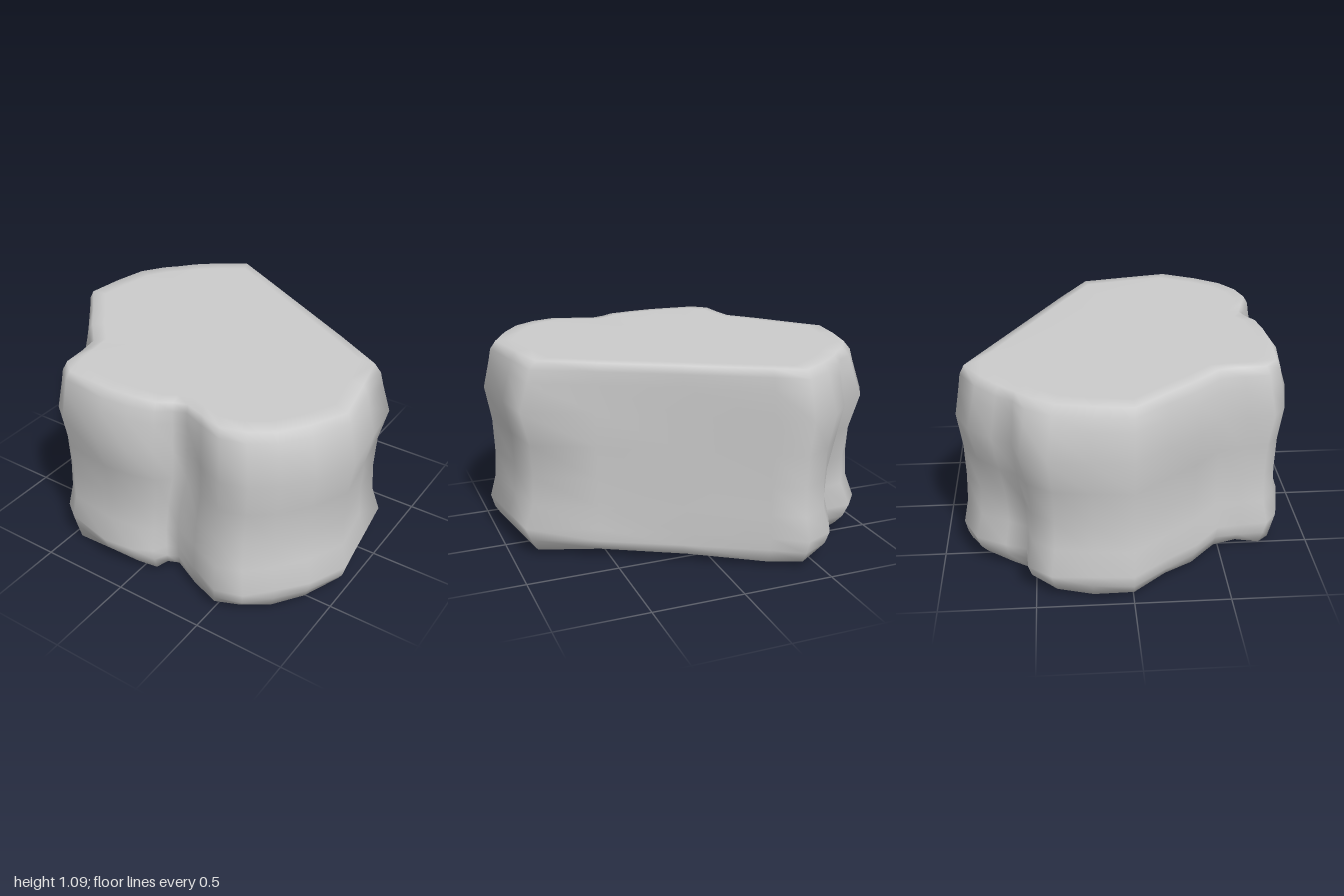
import * as THREE from 'three';

// Corners of the top rim: x, z and how far the side bulges outward there
const outline = [
  [-0.40, -0.84, 0.06], [-0.25, -0.76, 0.02], [0.15, -0.545, 0], [0.55, -0.33, 0.01],
  [0.83, -0.17, 0.11], [0.88, 0.06, 0.09], [0.935, 0.33, 0.07], [0.84, 0.52, 0.08],
  [0.74, 0.66, 0.06], [0.62, 0.74, 0.08], [0.49, 0.775, 0.08], [0.36, 0.735, 0.06],
  [0.25, 0.70, 0.01], [0.18, 0.725, 0.02], [0.11, 0.77, 0.06], [-0.02, 0.79, 0.10],
  [-0.17, 0.80, 0.11], [-0.44, 0.78, 0.06], [-0.52, 0.71, 0.07], [-0.53, 0.58, 0.07],
  [-0.55, 0.46, 0.06], [-0.68, 0.32, 0.09], [-0.80, 0.17, 0.07], [-0.945, 0, 0.058],
  [-0.92, -0.20, 0.07], [-0.88, -0.38, 0.10], [-0.80, -0.50, 0.11], [-0.73, -0.57, 0.04],
  [-0.66, -0.65, 0.07], [-0.54, -0.75, 0.09],
];

// Rings from foot to top: height, bulge, scale
const rings = [
  [0.035, 0, 0], [0.03, 0, 0.5], [0.03, 0, 0.9], [0.045, 0.3, 1], [0.10, 0.7, 1],
  [0.17, 1, 1], [0.30, 0.5, 1], [0.46, 0.4, 1], [0.64, 0.5, 1], [0.83, 1, 1],
  [0.98, 0.5, 1], [1.05, 0.3, 1], [1.095, 0, 0.99], [1.1, 0, 0.9], [1.1, 0, 0],
];

// Soft bump around a point of the outline
const near = (x, z, px, pz, size) => Math.exp(-((x - px) ** 2 + (z - pz) ** 2) / size ** 2);

function boulderGeometry() {
  const n = outline.length;
  const positions = [], index = [];
  rings.forEach(([y, swell, scale], r) => {
    const low = 1 - THREE.MathUtils.smoothstep(y, 0.3, 0.75);
    outline.forEach(([x, z, bulge], i) => {
      const s = scale * (1 + bulge * swell);
      // Near the foot the front groove leans sideways, a lobe juts out and the back corner is dented
      const groove = -0.075 * low * near(x, z, 0.24, 0.72, 0.15);
      const lobe = 0.045 * low * near(x, z, 0.53, 0.77, 0.2);
      const dent = 0.05 * low * near(x, z, -0.71, -0.6, 0.13);
      // The underside is slightly lumpy, lowest near the front left corner
      const lump = r > 0 && r < 4 ? 0.014 * Math.sin(i * 1.9 + r) - 0.025 * near(x, z, -0.44, 0.78, 0.1) : 0;
      positions.push(x * s + (groove + dent) * scale, Math.max(0, y + lump), z * s + (lobe + dent) * scale);
    });
  });
  for (let r = 0; r < rings.length - 1; r++) {
    for (let i = 0; i < n; i++) {
      const a = r * n + i, b = r * n + (i + 1) % n, c = a + n, d = b + n;
      if (r < rings.length - 2) index.push(a, c, d);
      if (r > 0) index.push(a, d, b);
    }
  }
  const geometry = new THREE.BufferGeometry();
  geometry.setAttribute('position', new THREE.Float32BufferAttribute(positions, 3));
  geometry.setIndex(index);
  geometry.computeVertexNormals();
  return geometry;
}

export function createModel() {
  const group = new THREE.Group();
  group.name = 'rock';
  const boulder = new THREE.Mesh(boulderGeometry(), new THREE.MeshStandardMaterial({ color: 0xcccccc }));
  boulder.name = 'boulder';
  group.add(boulder);
  return group;
}
